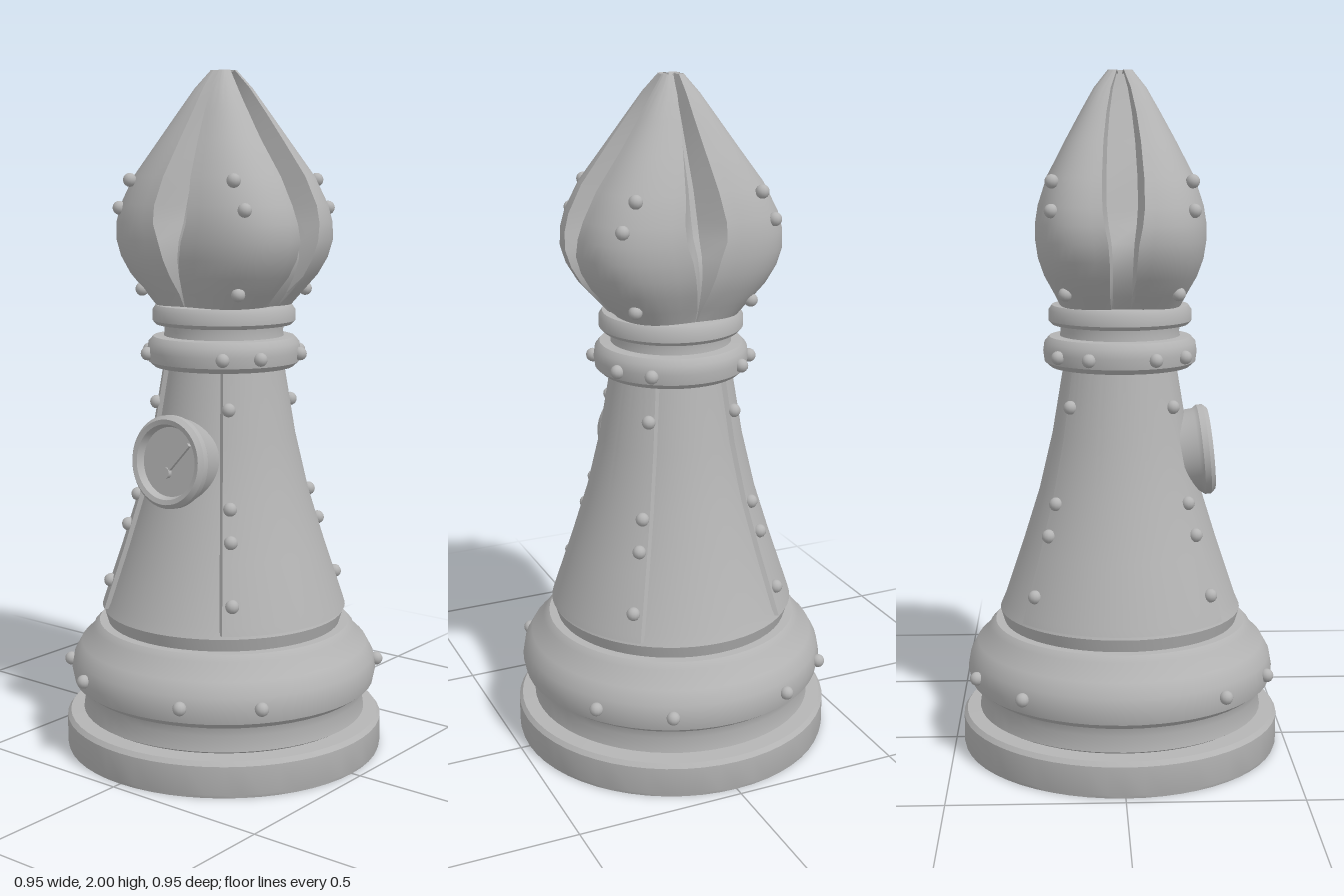
import * as THREE from 'three';
import { toCreasedNormals } from 'three/addons/utils/BufferGeometryUtils.js';

const stone = new THREE.MeshStandardMaterial({ color: 0xb4b4b4, side: THREE.DoubleSide });
stone.name = 'grey stone';

function add(parent, name, geometry) {
  const mesh = new THREE.Mesh(geometry, stone);
  mesh.name = name;
  parent.add(mesh);
  return mesh;
}

function lathe(profile, segments = 56, start = 0, length = Math.PI * 2) {
  return new THREE.LatheGeometry(profile.map(([r, y]) => new THREE.Vector2(r, y)), segments, start, length);
}
const turned = (profile) => toCreasedNormals(lathe(profile), 0.6);

// Head rows: y, half width x, half depth z, front slot half width, side slot half width, slot floor ratio
const HEAD = [
  [1.32, 0.17, 0.17, 0.004, 0.03, 0.99],
  [1.37, 0.215, 0.195, 0.006, 0.035, 0.96],
  [1.42, 0.26, 0.222, 0.018, 0.036, 0.9],
  [1.47, 0.29, 0.239, 0.03, 0.038, 0.86],
  [1.52, 0.306, 0.246, 0.042, 0.042, 0.8],
  [1.57, 0.304, 0.246, 0.06, 0.052, 0.7],
  [1.62, 0.29, 0.238, 0.062, 0.058, 0.66],
  [1.7, 0.25, 0.212, 0.05, 0.058, 0.64],
  [1.8, 0.178, 0.16, 0.034, 0.052, 0.6],
  [1.88, 0.122, 0.116, 0.022, 0.042, 0.55],
  [1.95, 0.073, 0.076, 0.014, 0.028, 0.45],
  [2.0, 0.032, 0.036, 0.009, 0.01, 0.4],
];
const POWER = 3;

// Point on the rounded-square outline of the head
function outline(a, b, t) {
  return [a * Math.cos(t) ** (2 / POWER), b * Math.sin(t) ** (2 / POWER)];
}

// Horizontal section of the head: four petals separated by slots
function headLoop([, a, b, wx, wz, f]) {
  const t0 = Math.asin((wz / b) ** (POWER / 2));
  const t1 = Math.acos((wx / a) ** (POWER / 2));
  const petal = [[a * f, wz * 0.75]];
  for (let i = 0; i <= 12; i++) petal.push(outline(a, b, t0 + (t1 - t0) * i / 12));
  petal.push([wx * 0.15, b * f]);
  const back = [...petal].reverse();
  return [
    ...petal,
    ...back.map(([x, z]) => [-x, z]),
    ...petal.map(([x, z]) => [-x, -z]),
    ...back.map(([x, z]) => [x, -z]),
  ];
}

function headGeometry() {
  const positions = [], index = [];
  const loops = HEAD.map(headLoop);
  const n = loops[0].length;
  loops.forEach((loop, r) => loop.forEach(([x, z]) => positions.push(x, HEAD[r][0], z)));
  for (let r = 0; r < loops.length - 1; r++) {
    for (let i = 0; i < n; i++) {
      const p = r * n + i, q = r * n + (i + 1) % n;
      index.push(p, p + n, q, q, p + n, q + n);
    }
  }
  // Dipped cap between the petal tips
  const top = (loops.length - 1) * n, centre = loops.length * n;
  positions.push(0, 1.975, 0);
  for (let i = 0; i < n; i++) index.push(centre, top + (i + 1) % n, top + i);
  const geometry = new THREE.BufferGeometry();
  geometry.setAttribute('position', new THREE.Float32BufferAttribute(positions, 3));
  geometry.setIndex(index);
  return toCreasedNormals(geometry, 0.6);
}

const BODY = [[0.345, 0.37], [0.36, 0.42], [0.347, 0.45], [0.29, 0.62], [0.24, 0.78], [0.2, 0.95], [0.165, 1.16]];

// Raised plate wrapped around one side of the body, its two ends sunk into it
function panelGeometry(centre) {
  const segments = 40, length = 1.92;
  const outer = BODY.slice(2).map(([r, y]) => [r + 0.012, y]);
  const profile = [[0.33, 0.43], [0.365, 0.43], ...outer];
  const geometry = lathe(profile, segments, centre - length / 2, length);
  const pos = geometry.attributes.position;
  for (const s of [0, segments]) {
    for (let j = 0; j < profile.length; j++) {
      const i = s * profile.length + j;
      pos.setXYZ(i, pos.getX(i) * 0.93, pos.getY(i), pos.getZ(i) * 0.93);
    }
  }
  return toCreasedNormals(geometry, 0.5);
}

// One rivet in each quadrant
const rivetGeometry = new THREE.SphereGeometry(0.02, 12, 8);
function rivets(parent, name, x, y, z) {
  for (const sx of [1, -1]) {
    for (const sz of [1, -1]) add(parent, name, rivetGeometry).position.set(sx * x, y, sz * z);
  }
}

function gauge() {
  const group = new THREE.Group();
  group.name = 'gauge';
  const dial = turned([[0.118, -0.12], [0.125, 0.0], [0.134, 0.012], [0.134, 0.03], [0.122, 0.043],
    [0.108, 0.04], [0.1, 0.018], [0, 0.018]]);
  dial.rotateX(Math.PI / 2);
  add(group, 'gaugeCase', dial);
  const needle = add(group, 'gaugeNeedle', new THREE.BoxGeometry(0.011, 0.12, 0.012));
  needle.position.set(0.03, 0.012, 0.022);
  needle.rotation.z = -0.72;
  const pivot = add(group, 'gaugePivot', new THREE.CylinderGeometry(0.016, 0.016, 0.016, 16));
  pivot.position.set(-0.008, -0.032, 0.023);
  pivot.rotation.x = Math.PI / 2;
  group.position.set(0, 0.893, 0.228);
  group.rotation.x = -0.1;
  return group;
}

export function createModel() {
  const model = new THREE.Group();
  model.name = 'chessBishop';

  // Stepped foot and swollen base
  add(model, 'foot', turned([[0, 0], [0.472, 0], [0.475, 0.01], [0.475, 0.092], [0.465, 0.105], [0.4, 0.108]]));
  add(model, 'base', turned([[0.4, 0.1], [0.425, 0.115], [0.418, 0.16], [0.425, 0.185], [0.452, 0.205],
    [0.459, 0.24], [0.452, 0.28], [0.43, 0.32], [0.398, 0.35], [0.392, 0.365], [0.375, 0.382], [0.3, 0.384]]));

  // Tapered body with side plates
  add(model, 'body', turned(BODY));
  add(model, 'leftPanel', panelGeometry(Math.PI / 2));
  add(model, 'rightPanel', panelGeometry(-Math.PI / 2));

  // Neck with two collars
  add(model, 'lowerCollar', turned([[0.16, 1.145], [0.205, 1.15], [0.222, 1.165], [0.226, 1.195], [0.222, 1.222],
    [0.208, 1.238], [0.175, 1.24]]));
  add(model, 'neck', turned([[0.178, 1.23], [0.174, 1.255], [0.178, 1.28]]));
  add(model, 'upperCollar', turned([[0.17, 1.27], [0.2, 1.274], [0.21, 1.285], [0.21, 1.315], [0.2, 1.33], [0.15, 1.336]]));

  add(model, 'head', headGeometry());
  model.add(gauge());

  // Rivets
  rivets(model, 'baseRivet', 0.363, 0.25, 0.288);
  rivets(model, 'baseRivet', 0.182, 0.25, 0.426);
  rivets(model, 'collarRivet', 0.14, 1.19, 0.182);
  rivets(model, 'collarRivet', 0.208, 1.19, 0.095);
  for (const [y, r] of [[0.51, 0.342], [0.68, 0.287], [0.77, 0.258], [1.045, 0.2]]) {
    rivets(model, 'bodyRivet', r * Math.sin(0.74), y, r * Math.cos(0.74));
  }
  rivets(model, 'headRivet', 0.19, 1.69, 0.196);
  rivets(model, 'headRivet', 0.23, 1.61, 0.198);
  rivets(model, 'headRivet', 0.178, 1.375, 0.16);
  return model;
}
